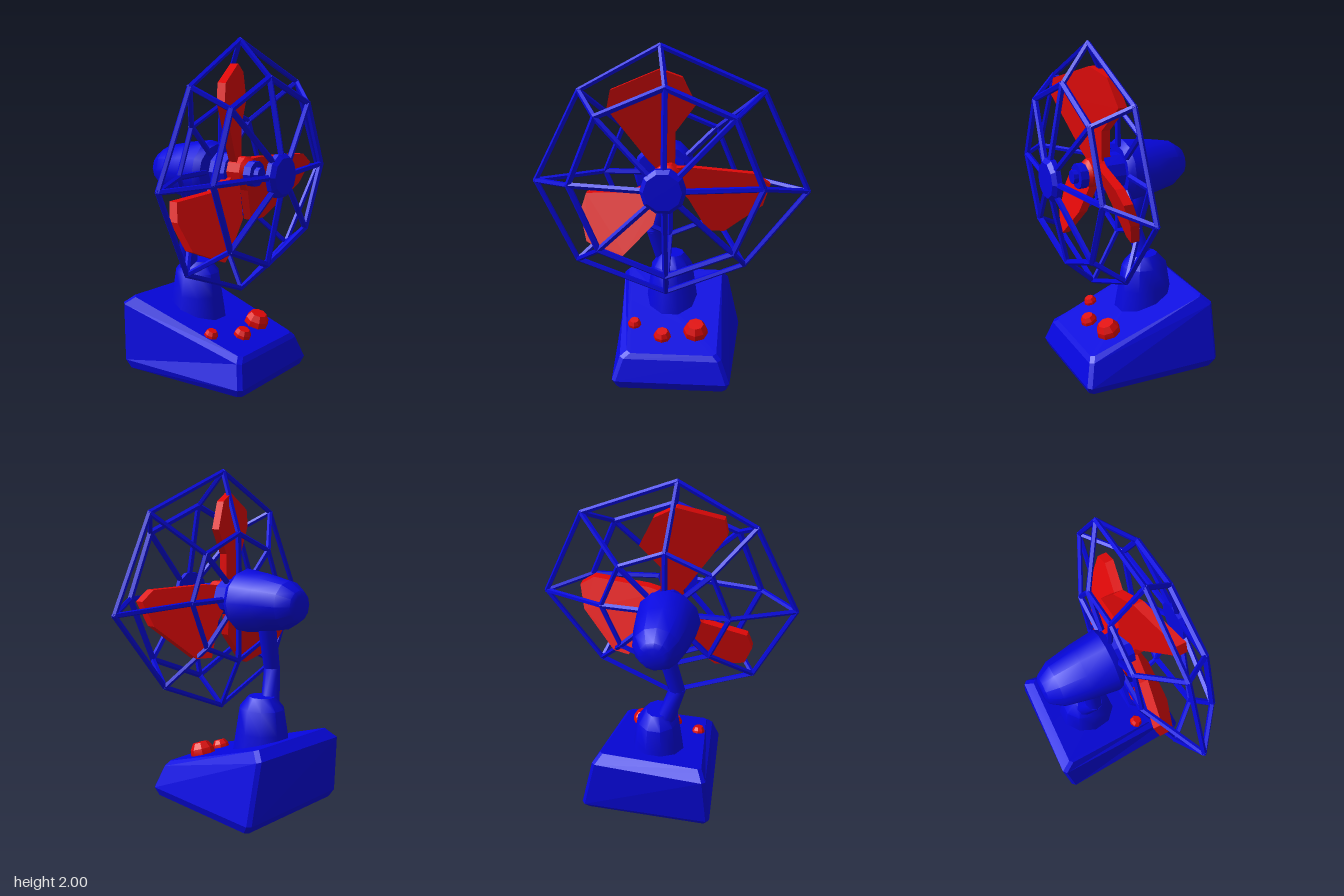
import * as THREE from 'three';
import { toCreasedNormals } from 'three/addons/utils/BufferGeometryUtils.js';

const V = (x, y, z) => new THREE.Vector3(x, y, z);
const blue = new THREE.MeshStandardMaterial({ color: 0x0606e0 });
blue.name = 'blue body';
const red = new THREE.MeshStandardMaterial({ color: 0xe00808 });
red.name = 'red accent';

function part(name, geometry, material, crease = 0.6) {
  const mesh = new THREE.Mesh(toCreasedNormals(geometry, crease), material);
  mesh.name = name;
  return mesh;
}

// Turned solid; profile is [radius, height] from bottom to top
const turned = (profile, sides) =>
  new THREE.LatheGeometry(profile.map(([r, h]) => new THREE.Vector2(r, h)), sides);

// Turned solid lying along +x
const turnedX = (profile, sides) => turned(profile, sides).rotateZ(-Math.PI / 2);

// Straight bar between two points
function bar(name, a, b, r0, r1 = r0, sides = 5) {
  const dir = b.clone().sub(a);
  const g = new THREE.CylinderGeometry(r1, r0, dir.length() + r0 * 0.6, sides);
  g.applyQuaternion(new THREE.Quaternion().setFromUnitVectors(V(0, 1, 0), dir.normalize()));
  const m = part(name, g, blue, sides > 6 ? 0.9 : 0.3);
  m.position.copy(a).add(b).multiplyScalar(0.5);
  return m;
}

// Cut every corner of a ring in two
function chamfer(ring, d) {
  const out = [];
  ring.forEach((p, i) => {
    for (const q of [ring[(i + ring.length - 1) % ring.length], ring[(i + 1) % ring.length]]) {
      out.push(p.clone().add(q.clone().sub(p).setLength(d)));
    }
  });
  return out;
}

// Skin stacked rings and close both ends
function loft(rings) {
  const pos = [];
  const tri = (...pts) => pts.forEach((p) => pos.push(p.x, p.y, p.z));
  const n = rings[0].length;
  for (let k = 0; k < rings.length - 1; k++) {
    for (let i = 0; i < n; i++) {
      const j = (i + 1) % n, a = rings[k], b = rings[k + 1];
      tri(a[i], a[j], b[j]);
      tri(a[i], b[j], b[i]);
    }
  }
  const bottom = rings[0], top = rings[rings.length - 1];
  for (let i = 1; i < n - 1; i++) {
    tri(bottom[0], bottom[i + 1], bottom[i]);
    tri(top[0], top[i], top[i + 1]);
  }
  const g = new THREE.BufferGeometry();
  g.setAttribute('position', new THREE.Float32BufferAttribute(pos, 3));
  g.computeVertexNormals();
  return g;
}

// Wedge-shaped foot with bevelled edges
function makeBase() {
  // back x (left, right), back y, back z (left, right), then the same for the front
  const ring = (bxl, bxr, by, bl, br, fx, fy, fl, fr) =>
    chamfer([V(bxl, by, bl), V(fx, fy, fl), V(fx, fy, fr), V(bxr, by, br)], 0.022);
  return part('base', loft([
    ring(-0.42, -0.42, 0, 0.38, -0.40, 0.39, 0, 0.31, -0.34),
    ring(-0.45, -0.455, 0.05, 0.395, -0.42, 0.41, 0.05, 0.335, -0.36),
    ring(-0.485, -0.455, 0.40, 0.365, -0.34, 0.37, 0.18, 0.29, -0.31),
    ring(-0.42, -0.40, 0.45, 0.33, -0.30, 0.35, 0.21, 0.25, -0.28),
  ]), blue, 0.1);
}

// Control knobs standing on the sloped top
function makeKnobs() {
  const knobs = new THREE.Group();
  knobs.name = 'knobs';
  for (const [x, z, r, h] of [[0.11, 0.23, 0.042, 0.055], [0.205, 0.05, 0.053, 0.065], [0.165, -0.15, 0.075, 0.092]]) {
    const k = part('knob', turned([
      [0, -0.02], [r * 0.9, -0.02], [r, h * 0.3], [r * 0.95, h * 0.6], [r * 0.65, h], [0, h],
    ], 8), red, 0.3);
    k.position.set(x, 0.43 - 0.316 * (x + 0.41), z);
    k.rotation.z = -0.306;
    knobs.add(k);
  }
  return knobs;
}

// Three pitched blades around a red hub
function makeBlades() {
  const blades = new THREE.Group();
  blades.name = 'blades';
  // [z, y] outlines about the hub: upper, lower left, right
  const outlines = [
    [[-0.04, 0.05], [-0.04, 0.25], [-0.155, 0.40], [-0.08, 0.56], [0.04, 0.61],
      [0.30, 0.51], [0.32, 0.41], [0.105, 0.105], [0.04, 0.03]],
    [[0.02, -0.05], [0.075, -0.265], [0.24, -0.44], [0.285, -0.475], [0.475, -0.39],
      [0.52, -0.23], [0.487, -0.125], [0.22, -0.10], [0.06, -0.03]],
    [[-0.04, 0.06], [-0.13, 0.07], [-0.49, 0.06], [-0.58, 0], [-0.545, -0.14],
      [-0.33, -0.34], [-0.23, -0.345], [-0.12, -0.14], [-0.03, -0.05]],
  ];
  outlines.forEach((outline, i) => {
    const shape = new THREE.Shape(outline.map(([z, y]) => new THREE.Vector2(z, y)));
    const g = new THREE.ExtrudeGeometry(shape, { depth: 0.055, bevelEnabled: false });
    g.translate(0, 0, -0.0275).rotateY(-Math.PI / 2);
    // Pitch: lean along the axis with distance from the blade's centre line
    const a = (i * Math.PI * 2) / 3, p = g.attributes.position;
    for (let v = 0; v < p.count; v++) {
      const across = p.getZ(v) * Math.cos(a) - p.getY(v) * Math.sin(a);
      p.setX(v, p.getX(v) + 0.135 + 0.43 * across);
    }
    blades.add(part('blade', g, red, 0.2));
  });
  blades.add(part('bladeHub', turnedX([[0, 0.11], [0.085, 0.11], [0.085, 0.22], [0.06, 0.25], [0, 0.25]], 10), red));
  blades.position.set(0, 1.245, 0.02);
  return blades;
}

// Eight-sided wire guard: back ring, wide middle ring, front ring, spokes
function makeCage() {
  const cage = new THREE.Group();
  cage.name = 'cage';
  const middle = [[0.055, 1.983], [-0.517, 1.742], [-0.775, 1.19], [-0.43, 0.735],
    [0.03, 0.54], [0.547, 0.742], [0.775, 1.222], [0.51, 1.738]]
    .map(([z, y]) => V(0.185 + 0.035 * Math.abs(z), y, z));
  // bow pushes the ring's sides forward
  const ring = (x, r, cy, bow = 0) => middle.map((_, i) => {
    const a = (i * Math.PI) / 4;
    return V(x + bow * Math.abs(Math.sin(a)), cy + Math.cos(a) * r, 0.015 - Math.sin(a) * r);
  });
  const back = ring(0.025, 0.385, 1.235), front = ring(0.362, 0.535, 1.245, 0.025);
  const backRoot = ring(0.02, 0.15, 1.235), frontRoot = ring(0.45, 0.1, 1.24);
  for (let i = 0; i < 8; i++) {
    const j = (i + 1) % 8;
    cage.add(
      bar('backRing', back[i], back[j], 0.016),
      bar('middleRing', middle[i], middle[j], 0.016),
      bar('frontRing', front[i], front[j], 0.019),
      bar('backSpoke', backRoot[i], back[i], 0.018),
      bar('backRib', back[i], middle[i], 0.016),
      bar('frontRib', middle[i], front[i], 0.016),
      bar('frontSpoke', front[i], frontRoot[i], 0.018),
    );
  }
  const cap = part('frontCap', turnedX([[0, 0.43], [0.128, 0.43], [0.128, 0.46], [0.105, 0.483], [0, 0.483]], 10), blue, 0.3);
  cap.position.set(0, 1.24, 0.02);
  cage.add(cap);
  return cage;
}

export function createModel() {
  const fan = new THREE.Group();
  fan.name = 'deskFan';
  fan.add(makeBase(), makeKnobs());

  // Socket and bent pole
  const socket = part('socket', turned([
    [0, 0.2], [0.195, 0.2], [0.18, 0.32], [0.16, 0.45], [0.138, 0.59], [0.08, 0.66], [0, 0.66],
  ], 10).scale(1.06, 1, 0.93), blue, 0.75);
  socket.position.set(-0.162, 0, 0.018);
  fan.add(socket);
  const elbow = V(-0.145, 0.81, 0.13);
  fan.add(bar('lowerPole', V(-0.185, 0.62, 0.07), elbow, 0.057, 0.048, 8));
  fan.add(bar('upperPole', elbow, V(-0.165, 1.12, 0.05), 0.048, 0.056, 8));

  // Motor housing, collar and shaft
  const motor = part('motor', turnedX([
    [0, -0.43], [0.06, -0.43], [0.09, -0.415], [0.14, -0.34], [0.172, -0.18], [0.192, -0.02], [0.17, 0.02], [0, 0.02],
  ], 12), blue);
  motor.position.set(0, 1.22, 0.048);
  const shaft = part('shaft', turnedX([
    [0, 0.01], [0.11, 0.01], [0.11, 0.13], [0.05, 0.13], [0.05, 0.24], [0.075, 0.24], [0.075, 0.29], [0.04, 0.29], [0.04, 0.32], [0, 0.32],
  ], 10), blue);
  shaft.position.set(0, 1.235, 0.02);
  fan.add(motor, shaft, makeBlades(), makeCage());
  return fan;
}
